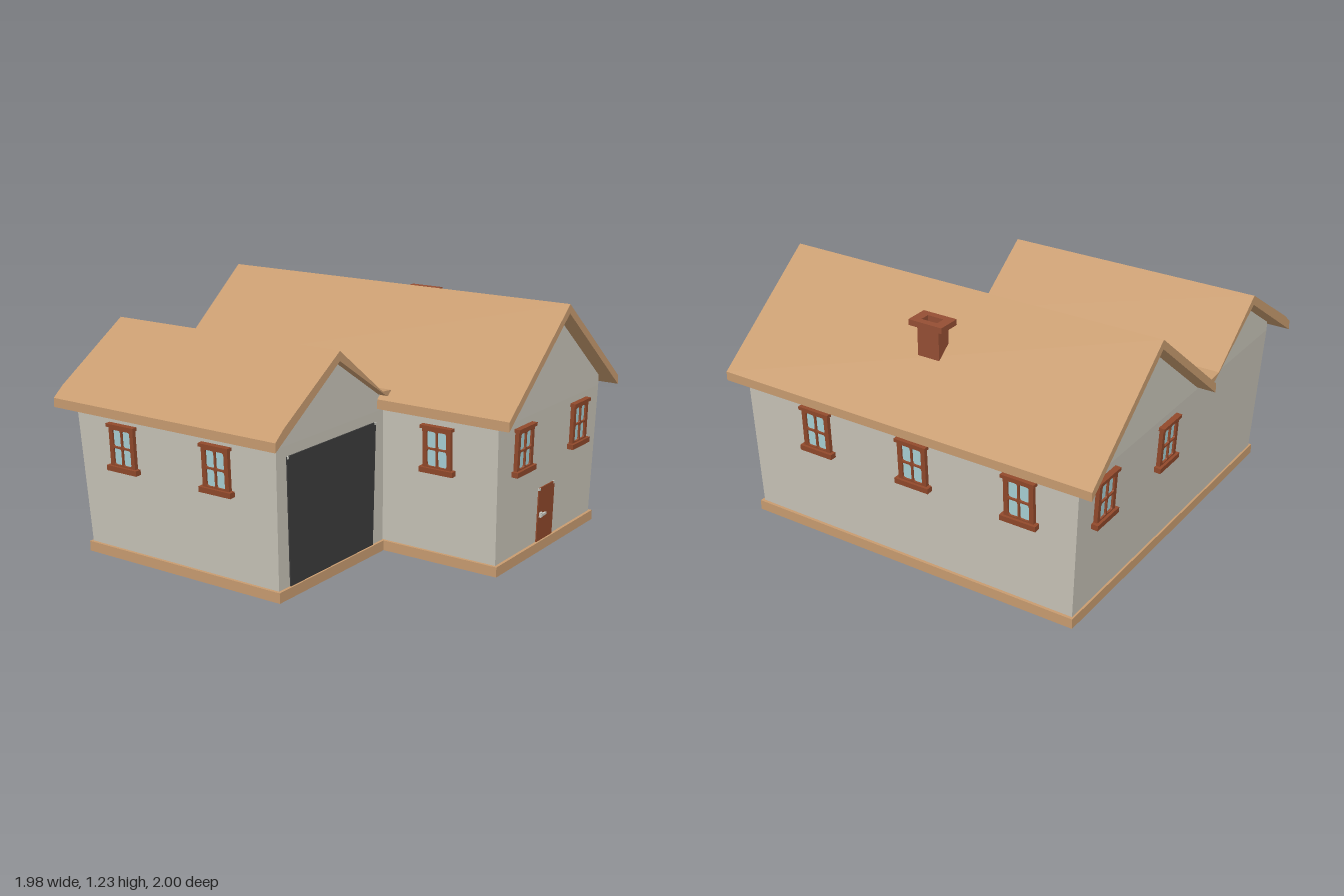
import * as THREE from 'three';

const mat = (name, color) => {
  const m = new THREE.MeshStandardMaterial({ color });
  m.name = name;
  return m;
};

export function createModel() {
  const house = new THREE.Group();
  house.name = 'house';

  const plaster = mat('plaster', 0xc9c5b9);
  const tan = mat('roofTan', 0xc89c70);
  const wood = mat('redWood', 0x91492b);
  const brick = mat('brick', 0x954f34);
  const glass = mat('glass', 0xa9d2d6);
  const dark = mat('garageDark', 0x3c3c3c);
  const metal = mat('paleMetal', 0xc6c6bd);

  const add = (parent, name, geometry, material, x = 0, y = 0, z = 0) => {
    const m = new THREE.Mesh(geometry, material);
    m.name = name;
    m.position.set(x, y, z);
    parent.add(m);
    return m;
  };
  const box = (w, h, d) => new THREE.BoxGeometry(w, h, d);
  const poly = (pts) => new THREE.Shape(pts.map(([x, y]) => new THREE.Vector2(x, y)));
  const extrude = (shape, depth) =>
    new THREE.ExtrudeGeometry(shape, { depth, bevelEnabled: false, curveSegments: 3 });
  const rect = (w, h) => poly([[-w / 2, -h / 2], [w / 2, -h / 2], [w / 2, h / 2], [-w / 2, h / 2]]);

  const Y0 = 0.05, Y1 = 0.72; // foot and top of the leaning walls

  // Foundation slab, L-shaped
  const slab = extrude(poly([
    [-0.915, 0.88], [0.92, 0.88], [0.92, -0.92], [-0.085, -0.92], [-0.085, -0.29], [-0.915, -0.29],
  ]), Y0);
  slab.rotateX(-Math.PI / 2);
  add(house, 'foundation', slab, tan);

  // Walls that lean outward; each range is [min, max]
  const leaningWalls = (name, xb, zb, xt, zt) => {
    const g = box(1, 1, 1), p = g.attributes.position;
    for (let i = 0; i < p.count; i++) {
      const top = p.getY(i) > 0;
      const xr = top ? xt : xb, zr = top ? zt : zb;
      p.setXYZ(i, xr[p.getX(i) > 0 ? 1 : 0], top ? Y1 : Y0, zr[p.getZ(i) > 0 ? 1 : 0]);
    }
    g.computeVertexNormals();
    add(house, name, g, plaster);
  };
  leaningWalls('mainWalls', [-0.07, 0.905], [-0.87, 0.905], [-0.1, 0.925], [-0.905, 0.92]);
  leaningWalls('garageWalls', [-0.9, -0.07], [-0.87, 0.275], [-0.93, -0.1], [-0.905, 0.29]);

  // Upright gables above the walls
  add(house, 'mainGable', extrude(poly([
    [-0.1, Y1], [0.925, Y1], [0.925, 0.775], [0.41, 1.185], [-0.1, 0.775],
  ]), 1.825), plaster, 0, 0, -0.905);
  add(house, 'garageGable', extrude(poly([
    [-0.93, Y1], [-0.1, Y1], [-0.1, 0.79], [-0.14, 0.805], [-0.515, 1.043], [-0.93, 0.768],
  ]), 1.195), plaster, 0, 0, -0.905);

  // Roofs
  add(house, 'mainRoof', extrude(poly([
    [-0.148, 0.73], [0.41, 1.18], [0.985, 0.724], [0.985, 0.768], [0.41, 1.225], [-0.148, 0.777],
  ]), 2), tan, 0, 0, -1);
  add(house, 'garageRoof', extrude(poly([
    [-0.99, 0.725], [-0.515, 1.038], [-0.14, 0.8], [-0.1, 0.785], [-0.1, 0.82], [-0.17, 0.826],
    [-0.515, 1.085], [-0.93, 0.82], [-0.99, 0.77],
  ]), 1.335), tan, 0, 0, -1);

  // Hollow chimney with a wider cap
  const chimney = new THREE.Group();
  chimney.name = 'chimney';
  chimney.position.set(0.67, 0, 0.015);
  house.add(chimney);
  const ring = (name, w, d, h, y) => {
    const s = rect(w, d);
    s.holes.push(rect(0.048, 0.085));
    const g = extrude(s, h);
    g.rotateX(-Math.PI / 2);
    add(chimney, name, g, brick, 0, y, 0);
  };
  ring('chimneyShaft', 0.074, 0.116, 0.24, 0.9);
  ring('chimneyCap', 0.116, 0.18, 0.028, 1.138);
  add(chimney, 'chimneyFloor', box(0.05, 0.09, 0.02), brick, 0, 1.07, 0);

  // Group standing at the foot of a leaning wall, +z facing outward
  const onWall = (name, angle, foot, top, along) => {
    const g = new THREE.Group();
    g.name = name;
    const n = new THREE.Vector3(Math.round(Math.sin(angle)), 0, Math.round(Math.cos(angle)));
    g.position.set(n.x ? foot : along, Y0, n.z ? foot : along);
    g.rotation.order = 'YXZ';
    g.rotation.y = angle;
    g.rotation.x = Math.atan(((top - foot) * (n.x + n.z)) / (Y1 - Y0));
    house.add(g);
    return g;
  };

  // Window frame with four rounded panes
  const paneHole = (cx, cy) => {
    const w = 0.025, h = 0.041, r = 0.012, p = new THREE.Path();
    p.moveTo(cx - w + r, cy - h);
    p.lineTo(cx + w - r, cy - h);
    p.quadraticCurveTo(cx + w, cy - h, cx + w, cy - h + r);
    p.lineTo(cx + w, cy + h - r);
    p.quadraticCurveTo(cx + w, cy + h, cx + w - r, cy + h);
    p.lineTo(cx - w + r, cy + h);
    p.quadraticCurveTo(cx - w, cy + h, cx - w, cy + h - r);
    p.lineTo(cx - w, cy - h + r);
    p.quadraticCurveTo(cx - w, cy - h, cx - w + r, cy - h);
    return p;
  };
  const frameShape = rect(0.153, 0.215);
  for (const sx of [-1, 1]) for (const sy of [-1, 1]) {
    frameShape.holes.push(paneHole(sx * 0.029, sy * 0.045));
  }
  const frameGeo = extrude(frameShape, 0.02);
  const glassGeo = box(0.12, 0.18, 0.008);
  const lintelGeo = box(0.172, 0.016, 0.03);
  const sillGeo = box(0.185, 0.026, 0.034);

  const addWindow = (...wall) => {
    const g = onWall('window', ...wall);
    const y = 0.523;
    add(g, 'windowFrame', frameGeo, wood, 0, y, 0);
    add(g, 'windowGlass', glassGeo, glass, 0, y, 0.006);
    add(g, 'windowLintel', lintelGeo, wood, 0, y + 0.106, 0.014);
    add(g, 'windowSill', sillGeo, wood, 0, y - 0.105, 0.016);
  };
  const H = Math.PI / 2;
  for (const x of [0.137, 0.704]) {
    addWindow(0, 0.905, 0.92, x);
    addWindow(Math.PI, -0.87, -0.905, x);
  }
  for (const z of [0.507, -0.046, -0.613]) addWindow(H, 0.905, 0.925, z);
  for (const z of [-0.046, -0.613]) addWindow(-H, -0.9, -0.93, z);
  addWindow(-H, -0.07, -0.1, 0.6);

  // Front door with handle
  const door = onWall('frontDoor', 0, 0.905, 0.92, 0.405);
  add(door, 'doorPanel', box(0.16, 0.275, 0.008), wood, 0, 0.1375, 0.002);
  add(door, 'doorHandlePlate', box(0.022, 0.024, 0.014), metal, -0.058, 0.137, 0.01);
  add(door, 'doorHandle', box(0.05, 0.012, 0.01), metal, -0.044, 0.137, 0.016);

  // Garage door
  const garage = onWall('garageDoor', 0, 0.275, 0.29, 0);
  add(garage, 'garagePanel', extrude(poly([
    [-0.82, 0], [-0.165, 0], [-0.165, 0.62], [-0.857, 0.62],
  ]), 0.006), dark);

  // Small corner pins on both doors
  for (const x of [-0.074, 0.074]) add(door, 'doorPin', box(0.012, 0.012, 0.01), metal, x, 0.269, 0.003);
  for (const x of [-0.85, -0.171]) add(garage, 'garagePin', box(0.012, 0.012, 0.01), metal, x, 0.614, 0.003);

  return house;
}
